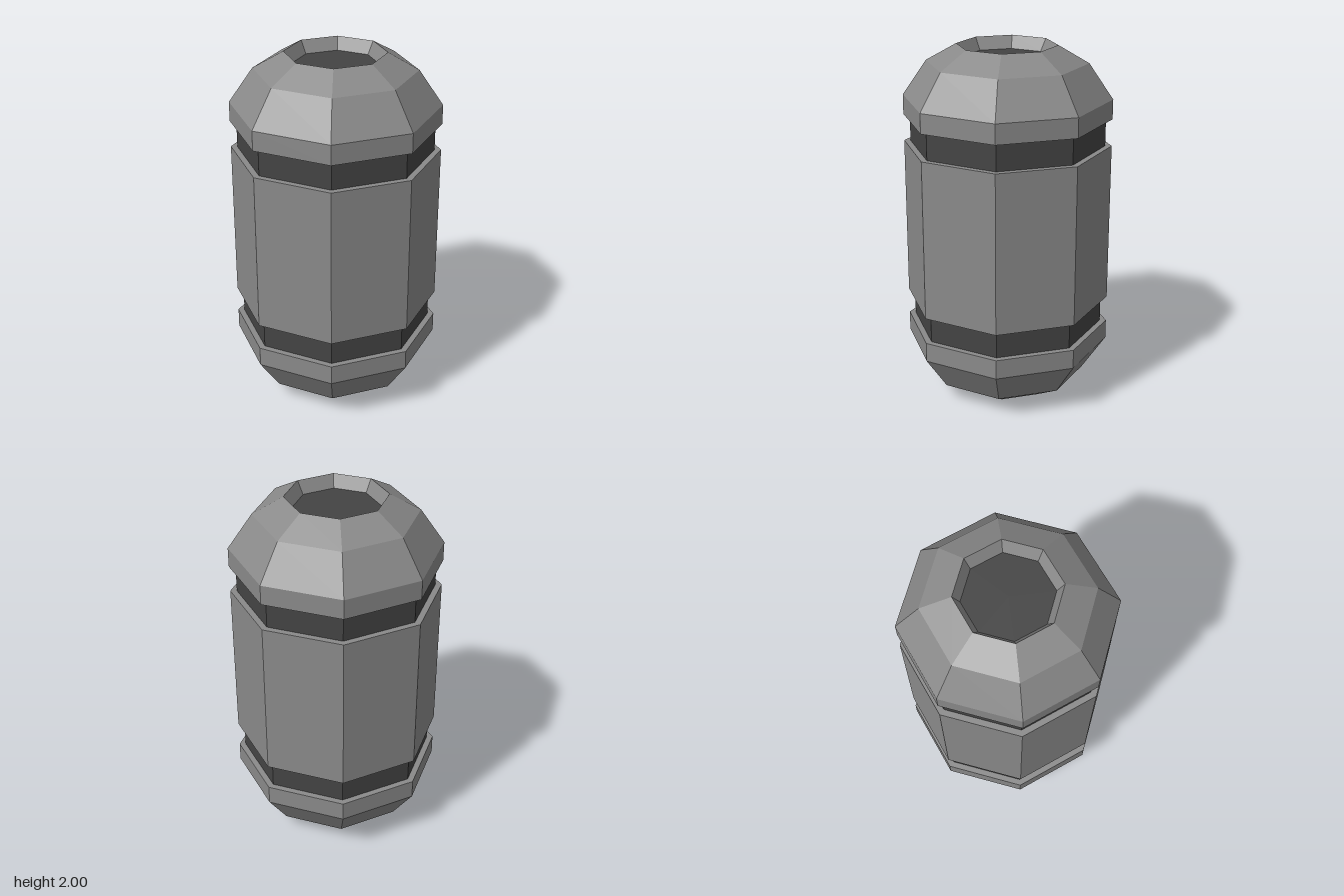
import * as THREE from 'three';

const SIDES = 8;
const TO_CORNER = 1 / Math.cos(Math.PI / SIDES); // flat-to-flat radius -> corner radius

const shell = new THREE.MeshStandardMaterial({ color: 0x8a8a8a, flatShading: true });
const dark = new THREE.MeshStandardMaterial({ color: 0x444444, flatShading: true });

// Octagonal solid from a profile of [flat radius, height], with flats facing the axes
function octagon(name, profile, material) {
  const points = profile.map(([r, y]) => new THREE.Vector2(r * TO_CORNER, y));
  const mesh = new THREE.Mesh(new THREE.LatheGeometry(points, SIDES, Math.PI / SIDES), material);
  mesh.name = name;
  return mesh;
}

// One end: recessed groove, faceted dome and sunken dark plate, relative to mid-height
function createEnd(name) {
  const end = new THREE.Group();
  end.name = name;
  end.add(
    octagon('grooveBand', [[0.5, 0.45], [0.5, 0.6]], dark),
    octagon('domeCap', [
      [0.5, 0.6], [0.533, 0.6], [0.533, 0.71], [0.41, 0.905], [0.255, 1], [0.22, 0.93],
    ], shell),
    octagon('recessPlate', [[0.22, 0.93], [0, 0.93]], dark),
  );
  return end;
}

export function createModel() {
  const model = new THREE.Group();
  model.name = 'capsuleCanister';

  // Straight middle section with its two narrow ledges
  const body = octagon('body', [[0.5, -0.45], [0.533, -0.45], [0.533, 0.45], [0.5, 0.45]], shell);
  body.position.y = 1;

  const top = createEnd('topEnd');
  top.position.y = 1;

  // The lower end is the same part turned upside down
  const bottom = createEnd('bottomEnd');
  bottom.rotation.x = Math.PI;
  bottom.position.y = 1;

  model.add(body, top, bottom);
  return model;
}
